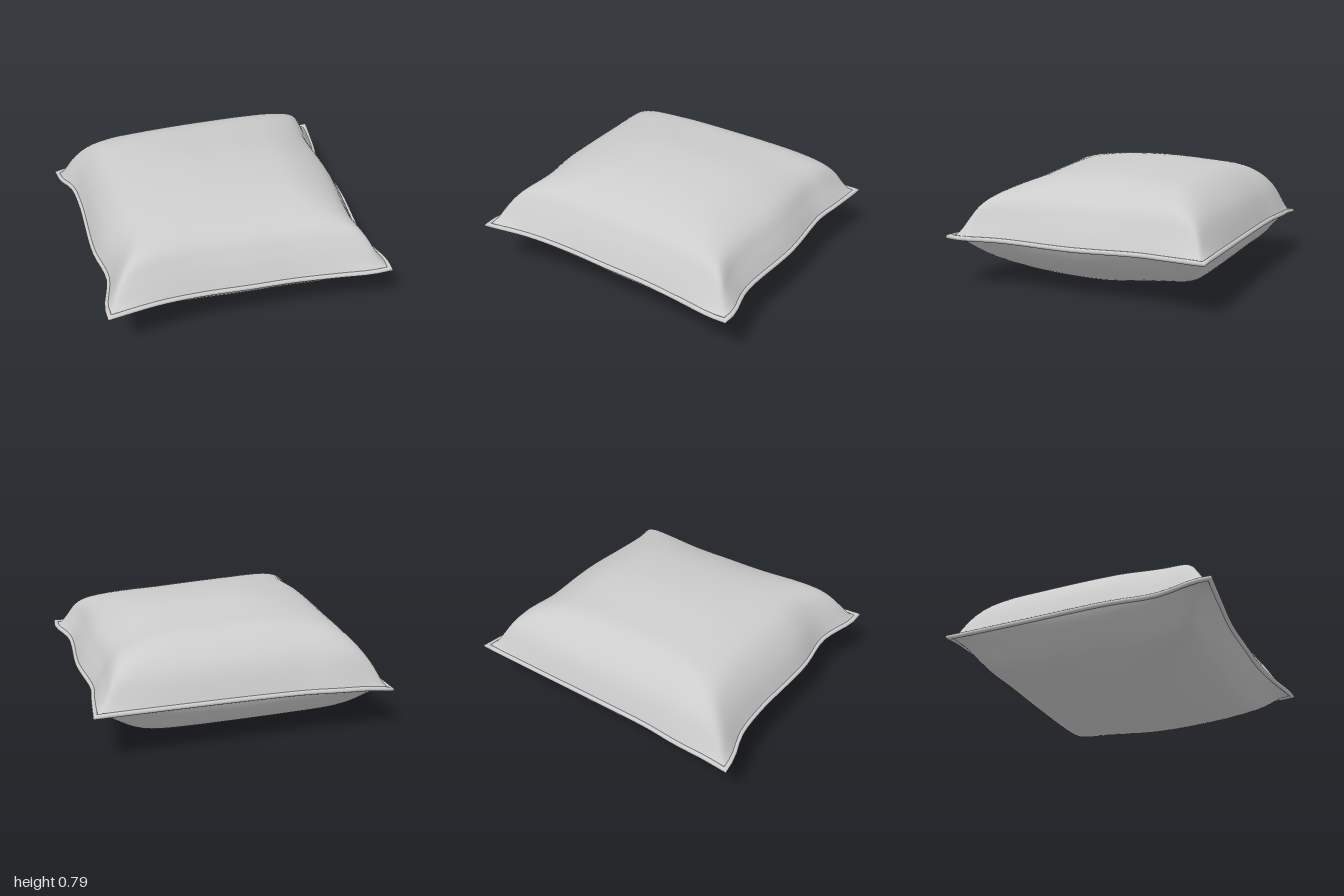
import * as THREE from 'three';

const V = (a) => new THREE.Vector3(...a);
const edge = (pts) => new THREE.CatmullRomCurve3(pts.map(V), false, 'centripetal');

// Seam corners and the four slightly slack seam edges
const BL = [-0.985, 0.3, -0.885], BR = [0.985, 0.37, -0.905];
const FL = [-0.935, 0.38, 0.895], FR = [0.945, 0.35, 0.895];
const back = edge([BL, [-0.85, 0.325, -0.893], [-0.62, 0.345, -0.905], [-0.4, 0.355, -0.895], [0, 0.365, -0.9], [0.6, 0.37, -0.905], BR]);
const front = edge([FL, [-0.6, 0.385, 0.85], [-0.3, 0.365, 0.822], [0, 0.35, 0.823], [0.3, 0.34, 0.825], [0.6, 0.338, 0.855], [0.83, 0.343, 0.89], FR]);
const left = edge([BL, [-0.97, 0.31, -0.78], [-0.915, 0.345, -0.6], [-0.897, 0.36, -0.35], [-0.905, 0.365, 0.2], [-0.87, 0.375, 0.52], [-0.935, 0.38, 0.8], FL]);
const right = edge([BR, [0.945, 0.365, -0.62], [0.917, 0.36, -0.45], [0.934, 0.35, 0], [0.897, 0.345, 0.55], [0.95, 0.348, 0.8], FR]);

// Puff profiles as [position across, relative height]
const profile = (pts) => new THREE.SplineCurve(pts.map(([u, h]) => new THREE.Vector2(u, h)));
const topX = profile([[-1, 0], [-0.92, 0.39], [-0.77, 0.71], [-0.555, 0.86], [-0.28, 0.97], [0, 0.99], [0.29, 0.98], [0.56, 0.91], [0.82, 0.65], [0.93, 0.32], [1, 0]]);
const topZ = profile([[-1, 0], [-0.89, 0.49], [-0.67, 0.81], [-0.39, 0.91], [0, 0.99], [0.42, 0.92], [0.76, 0.69], [0.9, 0.39], [1, 0]]);
const lowX = profile([[-1, 0], [-0.93, 0.24], [-0.78, 0.56], [-0.62, 0.73], [-0.42, 0.88], [-0.22, 0.97], [0, 1], [0.28, 0.96], [0.57, 0.82], [0.87, 0.38], [1, 0]]);
const lowZ = profile([[-1, 0], [-0.94, 0.26], [-0.79, 0.64], [-0.61, 0.8], [-0.335, 0.91], [0.02, 1], [0.41, 0.9], [0.75, 0.59], [0.89, 0.33], [1, 0]]);

// Point of the surface spanned by the four seam edges
function seamPatch(s, t) {
  const p = new THREE.Vector3();
  p.addScaledVector(back.getPointAt(s), 1 - t).addScaledVector(front.getPointAt(s), t);
  p.addScaledVector(left.getPointAt(t), 1 - s).addScaledVector(right.getPointAt(t), s);
  p.addScaledVector(V(BL), -(1 - s) * (1 - t)).addScaledVector(V(BR), -s * (1 - t));
  return p.addScaledVector(V(FL), -(1 - s) * t).addScaledVector(V(FR), -s * t);
}

// Joins two profile heights: full crown, flat pinched corners
function puff(a, b) {
  if (a < 0.001 || b < 0.001) return 0;
  const full = (a ** -5 + b ** -5 - 1) ** -0.2;
  return THREE.MathUtils.lerp(a * b, full, THREE.MathUtils.smoothstep(full, 0.1, 0.7));
}

// One puffed half of the cushion; sign is 1 for the top, -1 for the underside
function puffGeometry(px, pz, height, sign) {
  const n = 60;
  const geo = new THREE.PlaneGeometry(1, 1, n, n);
  geo.rotateX(-Math.PI / 2);
  const pos = geo.attributes.position;
  const unit = (v) => THREE.MathUtils.clamp((v + 1) / 2, 0, 1);
  for (let j = 0; j <= n; j++) {
    const b = pz.getPoint(j / n);
    for (let i = 0; i <= n; i++) {
      const a = px.getPoint(i / n);
      const p = seamPatch(unit(a.x), unit(b.x));
      pos.setXYZ(j * (n + 1) + i, p.x, p.y + sign * height * puff(a.y, b.y), p.z);
    }
  }
  if (sign < 0) {
    const idx = geo.index;
    for (let k = 0; k < idx.count; k += 3) {
      const c = idx.getX(k + 1);
      idx.setX(k + 1, idx.getX(k + 2));
      idx.setX(k + 2, c);
    }
  }
  geo.computeVertexNormals();
  return geo;
}

// Round bead swept along the closed seam, mitred at the corners
function pipingGeometry(loop, radius, sides) {
  const n = loop.length, verts = [], index = [];
  const out = (a, b) => new THREE.Vector3(b.z - a.z, 0, a.x - b.x).normalize();
  loop.forEach((p, i) => {
    const before = out(loop[(i + n - 1) % n], p);
    const after = out(p, loop[(i + 1) % n]);
    const mitre = before.clone().add(after).normalize();
    mitre.divideScalar(mitre.dot(after));
    for (let k = 0; k < sides; k++) {
      const ang = (k / sides) * Math.PI * 2;
      const q = p.clone().addScaledVector(mitre, radius * Math.cos(ang));
      verts.push(q.x, q.y + radius * Math.sin(ang), q.z);
      const a = i * sides + k, b = i * sides + ((k + 1) % sides);
      const c = ((i + 1) % n) * sides + k, d = ((i + 1) % n) * sides + ((k + 1) % sides);
      index.push(a, b, c, b, d, c);
    }
  });
  const geo = new THREE.BufferGeometry();
  geo.setAttribute('position', new THREE.Float32BufferAttribute(verts, 3));
  geo.setIndex(index);
  geo.computeVertexNormals();
  return geo;
}

export function createModel() {
  const group = new THREE.Group();
  group.name = 'cushion';
  const fabric = new THREE.MeshStandardMaterial({ color: 0xcccccc, side: THREE.DoubleSide });
  fabric.name = 'light grey fabric';
  const add = (name, geo) => {
    const mesh = new THREE.Mesh(geo, fabric);
    mesh.name = name;
    group.add(mesh);
  };

  add('topCover', puffGeometry(topX, topZ, 0.435, 1));
  add('bottomCover', puffGeometry(lowX, lowZ, 0.36, -1));

  // Piped seam running once around the outline
  const loop = [];
  const walk = (curve, reversed) => {
    for (let i = 0; i < 24; i++) loop.push(curve.getPointAt(reversed ? 1 - i / 24 : i / 24));
  };
  walk(back, false);
  walk(right, false);
  walk(front, true);
  walk(left, true);
  add('seamPiping', pipingGeometry(loop, 0.016, 10));

  return group;
}
